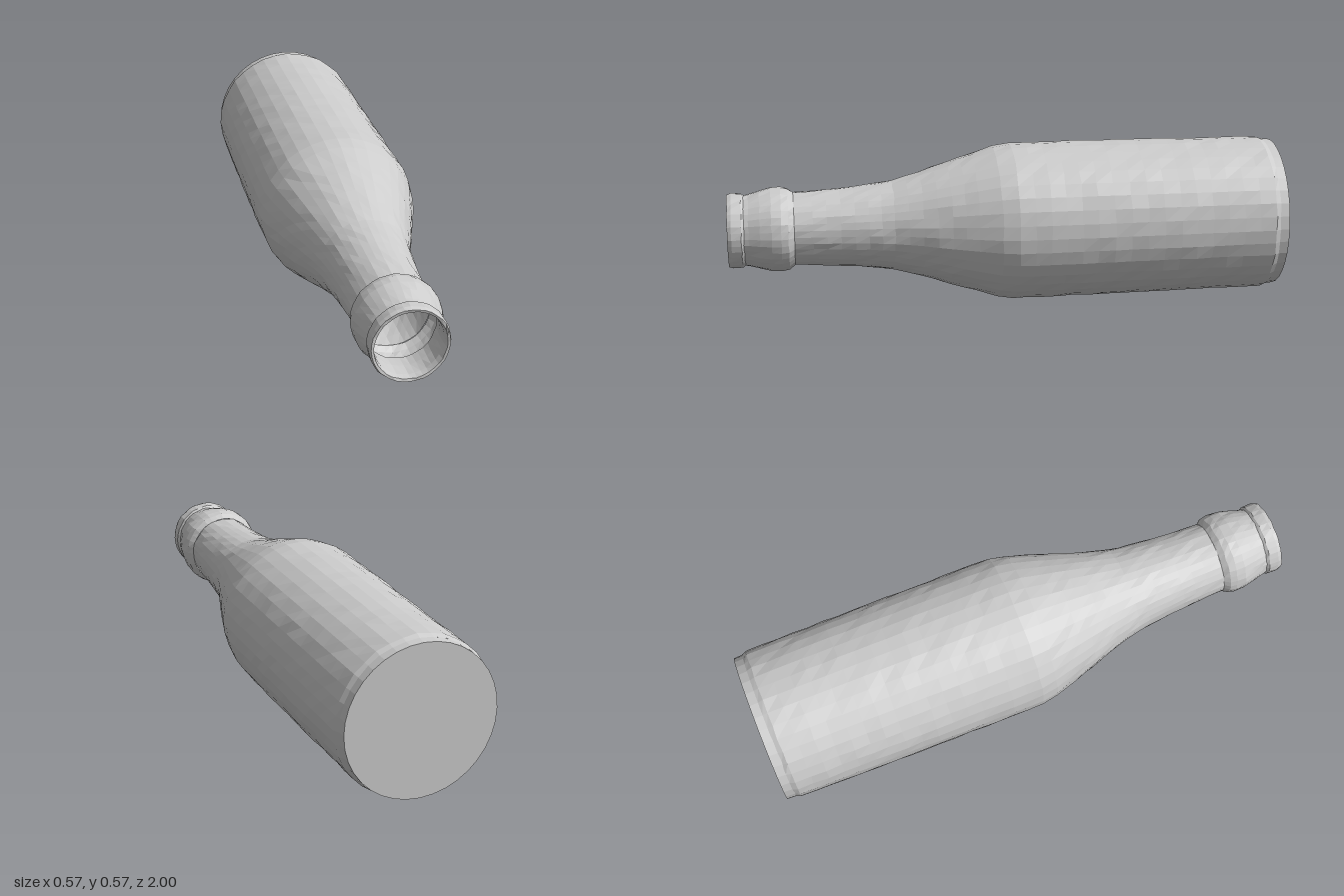
import * as THREE from 'three';

const AXIS_Y = 0.288; // height of the bottle's long axis
const SIDES = 36;

// Small repeatable noise in -1..1
function noise(i, j) {
  const s = Math.sin(i * 127.1 + j * 311.7) * 43758.5453;
  return 2 * (s - Math.floor(s)) - 1;
}

// Turn a [radius, z] profile about the z axis, with slight surface unevenness
function turned(name, profile, material, bump = 0) {
  const points = profile.map(([r, z]) => new THREE.Vector2(r, z));
  const geometry = new THREE.LatheGeometry(points, SIDES);
  const pos = geometry.attributes.position;
  for (let k = 0; k < pos.count; k++) {
    const i = Math.floor(k / points.length) % SIDES;
    const j = k % points.length;
    const r = Math.hypot(pos.getX(k), pos.getZ(k));
    if (r < 0.01) continue;
    const scale = 1 + (bump * noise(i, j)) / r;
    const edge = j === 0 || j === points.length - 1;
    pos.setXYZ(k, pos.getX(k) * scale,
      pos.getY(k) + (edge ? 0 : bump * noise(j + 50, i)), pos.getZ(k) * scale);
  }
  geometry.rotateX(Math.PI / 2);
  geometry.computeVertexNormals();
  const mesh = new THREE.Mesh(geometry, material);
  mesh.name = name;
  return mesh;
}

// Insert evenly spaced rings so long stretches get facets
function subdivide(profile, step) {
  const out = [profile[0]];
  for (let k = 1; k < profile.length; k++) {
    const [r0, z0] = profile[k - 1], [r1, z1] = profile[k];
    const n = Math.max(1, Math.round(Math.abs(z1 - z0) / step));
    for (let m = 1; m <= n; m++) {
      out.push([r0 + ((r1 - r0) * m) / n, z0 + ((z1 - z0) * m) / n]);
    }
  }
  return out;
}

export function createModel() {
  const bottle = new THREE.Group();
  bottle.name = 'bottle';
  const glass = new THREE.MeshStandardMaterial({
    color: 0xcccccc, flatShading: true, side: THREE.DoubleSide,
  });

  // Flat closed base with its short rim
  bottle.add(turned('base', [[0, -1], [0.27, -1], [0.272, -0.965]], glass));

  // Body, sloping shoulder and neck
  const body = subdivide([
    [0.272, -0.968], [0.28, -0.95], [0.283, -0.6], [0.285, -0.3], [0.285, -0.02],
    [0.275, 0.04], [0.25, 0.12], [0.222, 0.21], [0.19, 0.31], [0.162, 0.41],
    [0.15, 0.5], [0.141, 0.6], [0.134, 0.7], [0.131, 0.765],
  ], 0.055);
  bottle.add(turned('bodyAndNeck', body, glass, 0.002));

  // Rounded collar below the mouth
  bottle.add(turned('collar', [
    [0.131, 0.765], [0.146, 0.785], [0.151, 0.81], [0.15, 0.845],
    [0.141, 0.885], [0.13, 0.925], [0.125, 0.945],
  ], glass, 0.002));

  // Rolled lip, turning inwards into the open mouth
  bottle.add(turned('lip', [
    [0.125, 0.94], [0.133, 0.95], [0.134, 0.985], [0.129, 1],
    [0.12, 0.998], [0.116, 0.975], [0.116, 0.92], [0.122, 0.86],
  ], glass, 0.0015));

  bottle.position.y = AXIS_Y;
  const model = new THREE.Group();
  model.add(bottle);
  return model;
}
